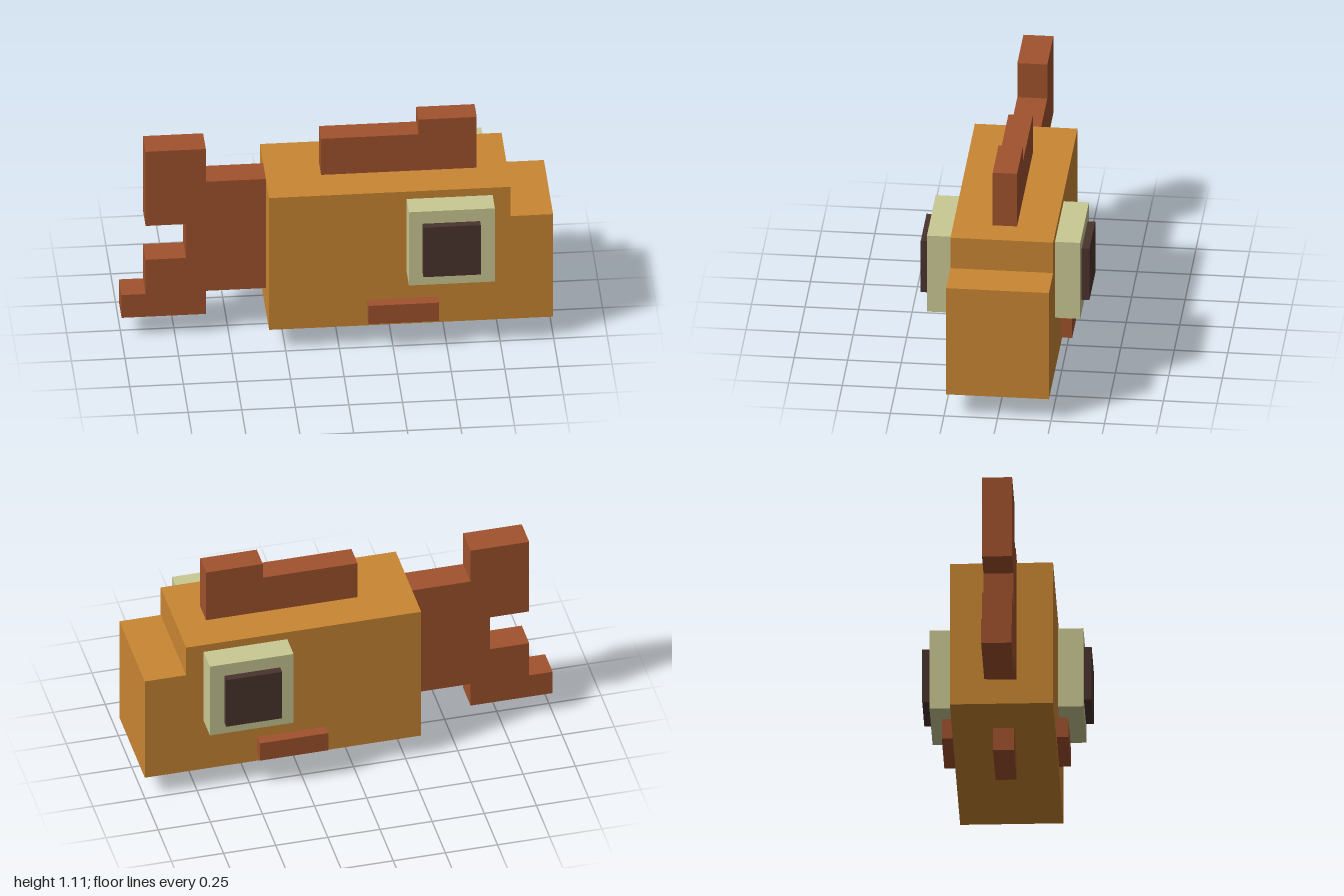
import * as THREE from 'three';

const material = (name, color) => {
  const m = new THREE.MeshStandardMaterial({ color });
  m.name = name;
  return m;
};

export function createModel() {
  const fish = new THREE.Group();
  fish.name = 'fish';
  const orange = material('orange scales', 0xc98632);
  const rust = material('rust fins', 0xa0522d);
  const cream = material('cream eye', 0xcac994);
  const brown = material('dark pupil', 0x4a342d);

  // Side outline extruded evenly about the centre plane
  function slab(name, mat, halfWidth, outline) {
    const shape = new THREE.Shape(outline.map(([x, y]) => new THREE.Vector2(x, y)));
    const geo = new THREE.ExtrudeGeometry(shape, { depth: halfWidth * 2, bevelEnabled: false });
    geo.translate(0, 0, -halfWidth);
    const mesh = new THREE.Mesh(geo, mat);
    mesh.name = name;
    fish.add(mesh);
  }

  // Box given by its limits
  function block(name, mat, [x0, x1], [y0, y1], [z0, z1]) {
    const mesh = new THREE.Mesh(new THREE.BoxGeometry(x1 - x0, y1 - y0, z1 - z0), mat);
    mesh.position.set((x0 + x1) / 2, (y0 + y1) / 2, (z0 + z1) / 2);
    mesh.name = name;
    fish.add(mesh);
  }

  // Body with a stepped snout
  slab('body', orange, 0.24, [
    [-0.327, 0.113], [0.998, 0.113], [0.998, 0.673], [0.8, 0.673], [0.8, 0.833], [-0.327, 0.833],
  ]);

  // Forked tail
  slab('tail', rust, 0.07, [
    [-0.327, 0.237], [-0.607, 0.237], [-0.607, 0.111], [-1, 0.111], [-1, 0.235],
    [-0.888, 0.235], [-0.888, 0.422], [-0.7, 0.422], [-0.7, 0.607], [-0.888, 0.607],
    [-0.888, 1.012], [-0.607, 1.012], [-0.607, 0.833], [-0.327, 0.833],
  ]);

  // Stepped back fin and the belly fin
  slab('dorsalFin', rust, 0.057, [
    [-0.068, 0.833], [0.658, 0.833], [0.658, 1.11], [0.386, 1.11], [0.386, 1.03], [-0.068, 1.03],
  ]);
  block('bellyFin', rust, [-0.06, 0.268], [0, 0.113], [-0.049, 0.049]);

  // Eyes, pupils and side fins on both flanks
  for (const [side, s] of [['left', 1], ['right', -1]]) {
    const span = (a, b) => (s > 0 ? [a, b] : [-b, -a]);
    block(side + 'Eye', cream, [0.315, 0.716], [0.393, 0.793], span(0.24, 0.358));
    block(side + 'Pupil', brown, [0.379, 0.647], [0.457, 0.727], span(0.358, 0.394));
    block(side + 'SideFin', rust, [0.132, 0.46], [0.152, 0.252], span(0.24, 0.294));
  }
  return fish;
}
